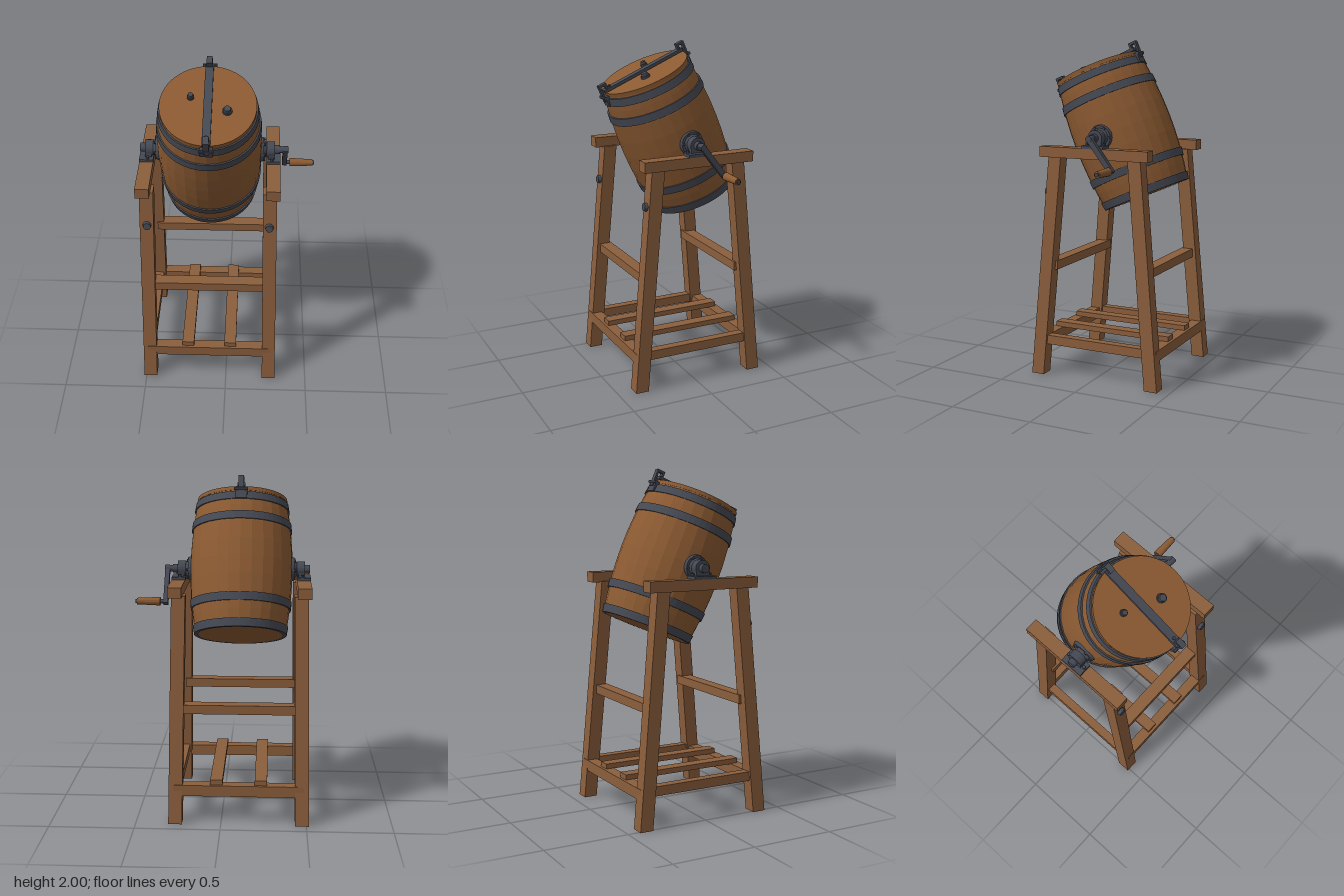
import * as THREE from 'three';

const CX = -0.103, CZ = -0.015; // centre of the stand
const AXLE_Y = 1.45;

export function createModel() {
  const mat = (name, color, flatShading = false) => {
    const m = new THREE.MeshStandardMaterial({ color, flatShading });
    m.name = name;
    return m;
  };
  const frameWood = mat('frameWood', 0x8b5e3c);
  const barrelWood = mat('barrelWood', 0x8b5a32, true);
  const iron = mat('iron', 0x454953, true);

  const root = new THREE.Group();
  root.name = 'barrelChurn';
  const group = (name, parent = root) => {
    const g = new THREE.Group();
    g.name = name;
    parent.add(g);
    return g;
  };
  const add = (parent, name, geo, material, x = 0, y = 0, z = 0) => {
    const m = new THREE.Mesh(geo, material);
    m.name = name;
    m.position.set(x, y, z);
    parent.add(m);
    return m;
  };
  // box given by its limits on each axis
  const span = (parent, name, material, x0, x1, y0, y1, z0, z1) =>
    add(parent, name, new THREE.BoxGeometry(x1 - x0, y1 - y0, z1 - z0), material,
      (x0 + x1) / 2, (y0 + y1) / 2, (z0 + z1) / 2);
  // cylinder lying along x, r0 at the low-x end
  const rodX = (parent, name, material, x0, x1, r0, r1, y, z, sides = 20) => {
    const geo = new THREE.CylinderGeometry(r1, r0, x1 - x0, sides).rotateZ(-Math.PI / 2);
    return add(parent, name, geo, material, (x0 + x1) / 2, y, z);
  };

  // ---- stand ----
  const stand = group('stand');
  stand.position.set(CX, 0, CZ);
  for (const sx of [-1, 1]) {
    for (const sz of [-1, 1]) {
      // splayed leg with level ends
      const geo = new THREE.BoxGeometry(0.08, 1.335, 0.08).translate(0, 0.6675, 0);
      const p = geo.attributes.position;
      for (let i = 0; i < p.count; i++) {
        const t = p.getY(i) / 1.335;
        p.setX(i, p.getX(i) + sx * (0.371 - 0.02 * t));
        p.setZ(i, p.getZ(i) + sz * (0.375 - 0.12 * t));
      }
      geo.computeVertexNormals();
      add(stand, 'leg', geo, frameWood);
    }
    const side = (name, a, b, y0, y1, z0, z1) =>
      span(stand, name, frameWood, Math.min(sx * a, sx * b), Math.max(sx * a, sx * b), y0, y1, z0, z1);
    side('topBeam', 0.328, 0.408, 1.33, 1.392, -0.347, 0.347);
    side('sideRail', 0.34, 0.394, 0.19, 0.245, -0.33, 0.33);
    span(stand, 'shelfSlat', frameWood, sx * 0.13 - 0.036, sx * 0.13 + 0.036, 0.233, 0.265, -0.38, 0.38);

    // bolt on the front leg
    const bolt = add(stand, 'legBolt', new THREE.CylinderGeometry(0.022, 0.027, 0.03, 16).rotateX(Math.PI / 2),
      iron, sx * 0.352, 1.12, 0.318);
    bolt.rotation.x = -0.09;
  }
  for (const sz of [-1, 1]) {
    const cross = (name, hx, y0, y1, a, b) =>
      span(stand, name, frameWood, -hx, hx, y0, y1, Math.min(sz * a, sz * b), Math.max(sz * a, sz * b));
    cross('lowerRail', 0.38, 0.17, 0.235, 0.33, 0.397);
    cross('upperRail', 0.36, 0.65, 0.703, 0.26, 0.335);
  }

  // ---- bearings ----
  for (const sx of [-1, 1]) {
    const b = group('bearing');
    b.position.set(CX, AXLE_Y, CZ);
    if (sx < 0) b.rotation.y = Math.PI;
    span(b, 'basePlate', iron, 0.327, 0.409, -0.06, -0.042, -0.07, 0.07);
    span(b, 'pedestal', iron, 0.338, 0.375, -0.05, 0, -0.042, 0.042);
    rodX(b, 'collar', iron, 0.328, 0.375, 0.046, 0.046, 0, 0);
    rodX(b, 'axle', iron, 0.28, 0.405, 0.025, 0.025, 0, 0);
    rodX(b, 'flange', iron, 0.29, 0.312, 0.075, 0.068, 0, 0, 24);
    rodX(b, 'flangeHub', iron, 0.31, 0.33, 0.055, 0.04, 0, 0, 24);
    for (let i = 0; i < 6; i++) {
      const a = (i * Math.PI) / 3;
      rodX(b, 'flangeBolt', iron, 0.31, 0.32, 0.008, 0.008, 0.06 * Math.sin(a), 0.06 * Math.cos(a), 6);
    }
    for (const z of [-0.056, 0.056])
      add(b, 'plateBolt', new THREE.CylinderGeometry(0.01, 0.01, 0.016, 6), iron, 0.36, -0.036, z);
  }

  // ---- crank ----
  const crank = group('crank');
  crank.position.set(0, AXLE_Y, CZ);
  const dy = -0.175, dz = -0.135;
  rodX(crank, 'crankShaft', iron, 0.28, 0.35, 0.019, 0.019, 0, 0);
  const arm = add(crank, 'crankArm', new THREE.BoxGeometry(0.028, Math.hypot(dy, dz) + 0.03, 0.032),
    iron, 0.334, dy / 2, dz / 2);
  arm.rotation.x = Math.atan2(dz, dy) + Math.PI;
  rodX(crank, 'handlePin', iron, 0.33, 0.512, 0.012, 0.012, dy, dz, 12);
  rodX(crank, 'handleGrip', barrelWood, 0.366, 0.503, 0.025, 0.019, dy, dz, 14);

  // ---- barrel, tipped forward on its axle ----
  const barrel = group('barrel');
  barrel.position.set(CX, 1.456, CZ);
  barrel.rotation.x = 0.41;
  const H = 0.405;
  const radius = (t) => 0.302 - 0.038 * (t / H) ** 2;
  const profile = [new THREE.Vector2(0, -H)];
  for (let i = 0; i <= 8; i++) {
    const t = -H + (2 * H * i) / 8;
    profile.push(new THREE.Vector2(radius(t), t));
  }
  profile.push(new THREE.Vector2(0, H));
  add(barrel, 'staves', new THREE.LatheGeometry(profile, 28), barrelWood);
  add(barrel, 'lid', new THREE.CylinderGeometry(0.268, 0.268, 0.022, 56), barrelWood, 0, 0.4, 0);

  for (const [t0, t1] of [[-0.407, -0.36], [-0.26, -0.213], [0.213, 0.26], [0.335, 0.38]]) {
    const ring = [[-0.015, t0], [0.007, t0], [0.007, t1], [-0.015, t1]]
      .map(([d, t]) => new THREE.Vector2(radius(t) + d, t));
    add(barrel, 'hoop', new THREE.LatheGeometry(ring, 56), iron);
  }

  // lid bar with a clamp at each end
  span(barrel, 'lidBar', iron, -0.023, 0.023, 0.415, 0.433, -0.27, 0.275);
  for (const sz of [-1, 1]) {
    const c = group('lidClamp', barrel);
    if (sz < 0) c.rotation.y = Math.PI;
    span(c, 'clampPlate', iron, -0.035, 0.035, 0.335, 0.395, 0.265, 0.288);
    span(c, 'clampPost', iron, -0.016, 0.016, 0.365, 0.465, 0.283, 0.295);
    span(c, 'clampTop', iron, -0.016, 0.016, 0.453, 0.467, 0.245, 0.295);
    span(c, 'clampToe', iron, -0.016, 0.016, 0.425, 0.46, 0.245, 0.257);
    rodX(c, 'clampPin', iron, -0.04, 0.04, 0.01, 0.01, 0.39, 0.29, 10);
  }
  add(barrel, 'barBolt', new THREE.CylinderGeometry(0.009, 0.009, 0.012, 8), iron, 0, 0.437, 0.23);

  // vent and sight plugs on the lid
  for (const [x, z, r] of [[-0.097, -0.05, 0.02], [0.107, 0.04, 0.027]]) {
    add(barrel, 'plugBase', new THREE.CylinderGeometry(r, r, 0.014, 18), iron, x, 0.417, z);
    add(barrel, 'plugCap', new THREE.CylinderGeometry(r * 0.7, r * 0.8, 0.018, 18), iron, x, 0.431, z);
  }
  return root;
}
